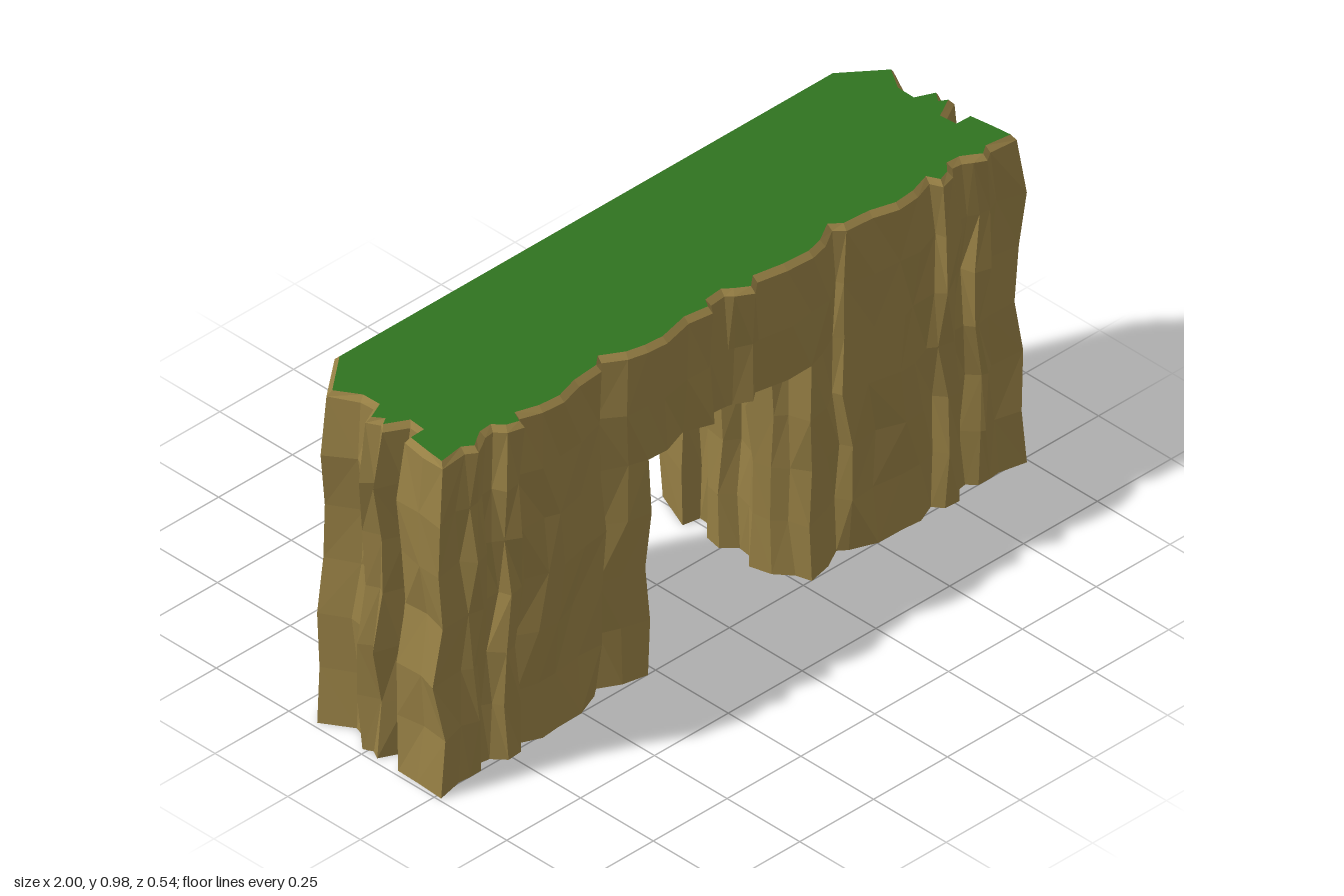
import * as THREE from 'three';

// Plan of the +x half, [x, z]: from the opening along the front, round the end, to the back of the opening
const OUTER = [
  [0.28, 0.252], [0.34, 0.238], [0.40, 0.208], [0.42, 0.232], [0.50, 0.243], [0.58, 0.258], [0.64, 0.25],
  [0.70, 0.235], [0.72, 0.262], [0.77, 0.258], [0.785, 0.225], [0.82, 0.225], [0.84, 0.248], [0.87, 0.258],
  [0.90, 0.24], [0.988, 0.255], [0.982, 0.18], [0.975, 0.11], [0.925, 0.098], [0.92, 0.07], [0.985, 0.035],
  [0.97, 0.022], [0.988, -0.015], [0.935, -0.045], [0.93, -0.09], [0.978, -0.165], [0.85, -0.26], [0.265, -0.26],
];
// Wall inside the opening, from back to front
const INNER = [
  [0.222, -0.13], [0.265, -0.115], [0.26, -0.07], [0.218, -0.05], [0.213, 0.0], [0.25, 0.03],
  [0.235, 0.08], [0.213, 0.11], [0.225, 0.17], [0.26, 0.20],
];
// Front of the span over the opening, from -x to +x
const SPAN = [
  [-0.22, 0.255], [-0.13, 0.24], [-0.05, 0.25], [-0.035, 0.218], [0.015, 0.218], [0.03, 0.235],
  [0.08, 0.258], [0.11, 0.238], [0.20, 0.252],
];

// Layers of rock: height, width factor, back face
const Y = [0, 0.16, 0.32, 0.48, 0.64, 0.8, 0.96];
const WIDTH = [1.005, 0.995, 1.01, 0.975, 0.99, 1.01, 0.985];
const BACK = [-0.25, -0.263, -0.265, -0.27, -0.262, -0.255, -0.258];
const SPAN_LAYER = 4;

// Repeatable value in -1..1
function noise(a, b) {
  const s = Math.sin(a * 127.1 + b * 311.7) * 43758.5453;
  return (s - Math.floor(s)) * 2 - 1;
}

// Shifts a plan into its place on layer k; the back stays smooth, the top ring is calmer
function layer(points, k, seed, rough) {
  const amount = k === 6 ? rough * 0.5 : rough;
  return points.map(([px, pz], i) => {
    if (pz < -0.2) return new THREE.Vector3(px * WIDTH[k], Y[k], BACK[k]);
    const x = px * WIDTH[k] + noise(i + seed, k) * amount;
    const z = pz + noise(i + seed + 50, k) * amount;
    return new THREE.Vector3(THREE.MathUtils.clamp(x, -1, 1), Y[k], Math.min(0.27, z));
  });
}

const mirror = (points) => points.map((p) => new THREE.Vector3(-p.x, p.y, p.z)).reverse();
const outer = (k) => layer(OUTER, k, 1, 0.011);
const inner = (k) => layer(INNER, k, 101, 0.009);
const span = (k) => layer(SPAN, k, 201, 0.011);
const wholeRing = (k) => [...span(k), ...outer(k), ...mirror(outer(k))];

// Skin between closed rings; each quad is split along a varying diagonal
function skin(rings) {
  const pos = [];
  const tri = (...pts) => pts.forEach((p) => pos.push(p.x, p.y, p.z));
  for (let k = 0; k < rings.length - 1; k++) {
    const low = rings[k], high = rings[k + 1], n = low.length;
    for (let i = 0; i < n; i++) {
      const a = low[i], b = low[(i + 1) % n], c = high[(i + 1) % n], d = high[i];
      if (noise(i, k + 9) > 0) { tri(a, b, c); tri(a, c, d); }
      else { tri(a, b, d); tri(b, c, d); }
    }
  }
  const geo = new THREE.BufferGeometry();
  geo.setAttribute('position', new THREE.Float32BufferAttribute(pos, 3));
  geo.computeVertexNormals();
  return geo;
}

// Flat face over a ring, turned up (1) or down (-1)
function face(ring, up) {
  const shape = new THREE.Shape(ring.map((p) => new THREE.Vector2(p.x, -p.z * up)));
  return new THREE.ShapeGeometry(shape).rotateX(-up * Math.PI / 2).translate(0, ring[0].y, 0);
}

// Ring moved inward and raised, for the bevelled rim
function inset(ring, dist, y) {
  const n = ring.length;
  return ring.map((p, i) => {
    const q = ring[(i + n - 1) % n], r = ring[(i + 1) % n];
    const tx = r.x - q.x, tz = r.z - q.z, len = Math.hypot(tx, tz);
    return new THREE.Vector3(p.x + (tz / len) * dist, y, p.z - (tx / len) * dist);
  });
}

export function createModel() {
  const group = new THREE.Group();
  group.name = 'rockArch';
  const rock = new THREE.MeshStandardMaterial({ color: 0x967f44, side: THREE.DoubleSide, flatShading: true });
  rock.name = 'rock';
  const grass = new THREE.MeshStandardMaterial({ color: 0x307320 });
  grass.name = 'grass';
  const add = (name, geo, mat) => {
    const mesh = new THREE.Mesh(geo, mat);
    mesh.name = name;
    group.add(mesh);
  };

  // Legs, open underneath
  const legRings = [];
  for (let k = 0; k <= SPAN_LAYER; k++) legRings.push([...outer(k), ...inner(k)]);
  add('leftLeg', skin(legRings), rock);
  add('rightLeg', skin(legRings.map(mirror)), rock);

  // Span across both legs and its underside
  add('span', skin([4, 5, 6].map(wholeRing)), rock);
  const o = outer(SPAN_LAYER);
  const side = [o[o.length - 1], ...inner(SPAN_LAYER), o[0]];
  add('spanUnderside', face([...span(SPAN_LAYER), ...side.slice().reverse(), ...mirror(side).reverse()], -1), rock);

  // Bevelled rim and grass top
  const edge = wholeRing(6);
  const top = inset(edge, 0.015, 0.975);
  add('rim', skin([edge, top]), rock);
  add('grassTop', face(top, 1), grass);
  return group;
}
